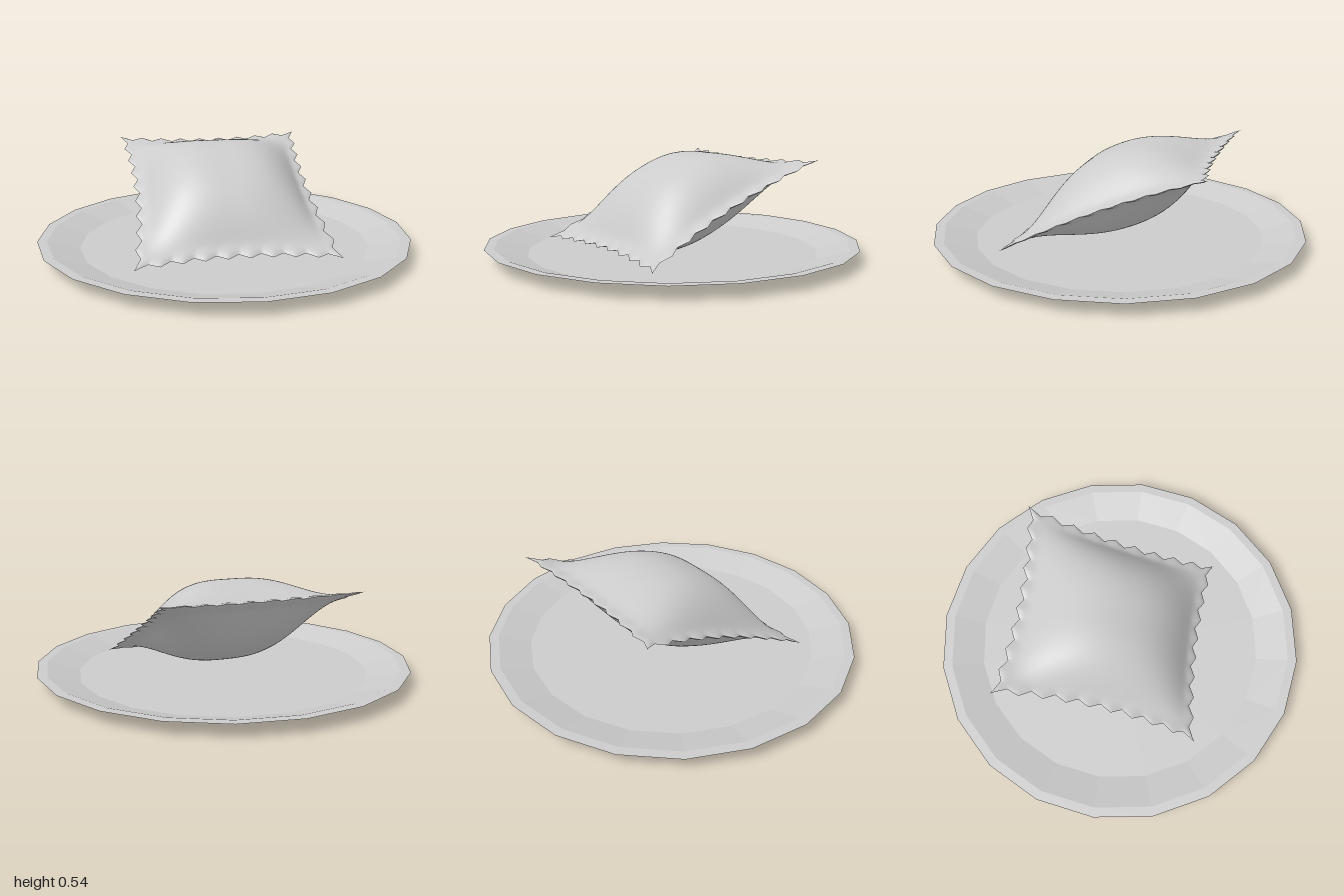
import * as THREE from 'three';

const SEGMENTS = 72; // eight per tooth, so peaks and valleys fall on vertices
const TEETH = 9;

// Triangle wave: -1 (valley) at the middle of an edge, +1 (peak) at the corners
function zigzag(a) {
  const p = ((Math.abs(a) * TEETH / 2) % 1 + 1) % 1;
  return 1 - 4 * Math.abs(p - 0.5);
}

// Domed profile with a soft foot where the filling meets the flat border
function dome(a, power) {
  const p = 1 - Math.pow(Math.abs(a) / 0.9, power);
  return (p + Math.sqrt(p * p + 0.02)) / 2;
}

// Distance from the centre line: edges bow inwards and end in teeth
function spread(a, b, half) {
  const teeth = THREE.MathUtils.smoothstep(Math.abs(a), 0.88, 1);
  return a * (half + 0.043 * b * b + 0.015 * zigzag(b) * teeth);
}

// One sheet of dough; side is +1 for the upper and -1 for the lower
function doughSheet(name, side, height, material) {
  const geometry = new THREE.PlaneGeometry(2, 2, SEGMENTS, SEGMENTS);
  geometry.rotateX(-side * Math.PI / 2);
  const pos = geometry.attributes.position;
  for (let i = 0; i < pos.count; i++) {
    const u = pos.getX(i), v = pos.getZ(i);
    const pinch = 1 - Math.pow(Math.max(Math.abs(u), Math.abs(v)), 40);
    const bulge = (height * dome(u, 3) * dome(v, 2.2) + 0.008) * pinch;
    const seam = 0.02 * u * u * (1 - v * v);
    pos.setXYZ(i, spread(u, v, 0.467), seam + side * bulge, spread(v, u, 0.515));
  }
  geometry.computeVertexNormals();
  const mesh = new THREE.Mesh(geometry, material);
  mesh.name = name;
  return mesh;
}

export function createModel() {
  const model = new THREE.Group();
  model.name = 'filledPastaOnPlate';

  // Plate: low-poly dish with a flat lip
  const plateProfile = [
    [0, 0], [0.71, 0], [1, 0.07], [0.95, 0.07], [0.78, 0.02], [0, 0.02],
  ].map(([r, y]) => new THREE.Vector2(r, y));
  const plate = new THREE.Mesh(
    new THREE.LatheGeometry(plateProfile, 20),
    new THREE.MeshStandardMaterial({ color: 0xcccccc, flatShading: true }),
  );
  plate.name = 'plate';
  model.add(plate);

  // Pasta pillow, leaning with its front edge on the plate
  const dough = new THREE.MeshStandardMaterial({ color: 0xcccccc, side: THREE.DoubleSide });
  const pasta = new THREE.Group();
  pasta.name = 'pasta';
  pasta.add(doughSheet('upperDough', 1, 0.215, dough));
  pasta.add(doughSheet('lowerDough', -1, 0.178, dough));
  pasta.rotation.x = 0.413;
  pasta.position.set(0, 0.28, -0.045);
  model.add(pasta);

  return model;
}
